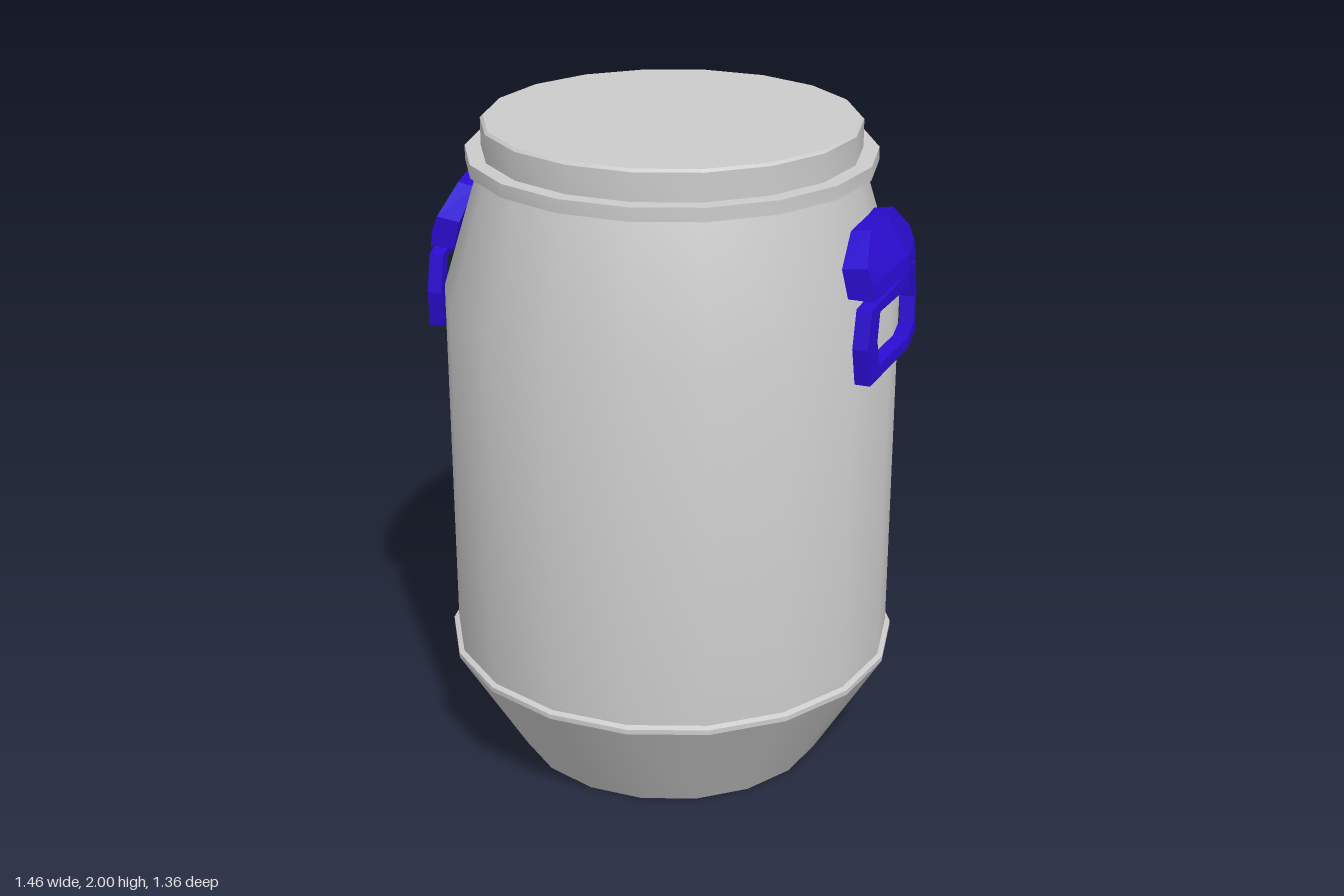
import * as THREE from 'three';
import { toCreasedNormals } from 'three/addons/utils/BufferGeometryUtils.js';

const SIDES = 18;
const grey = new THREE.MeshStandardMaterial({ color: 0xcccccc });
const blue = new THREE.MeshStandardMaterial({ color: 0x2a0cd0, flatShading: true });

// Turned part from [radius, y] pairs running bottom to top
function turned(name, profile) {
  const points = profile.map(([r, y]) => new THREE.Vector2(r, y));
  const lathe = new THREE.LatheGeometry(points, SIDES, Math.PI / SIDES, Math.PI * 2);
  const mesh = new THREE.Mesh(toCreasedNormals(lathe, 0.5), grey);
  mesh.name = name;
  return mesh;
}

// Flat-sided skin over equal-sized rings of [x, y, z]; a closed loft joins last to first
function loft(name, rings, closed) {
  const n = rings[0].length;
  const index = [];
  const spans = closed ? rings.length : rings.length - 1;
  for (let i = 0; i < spans; i++) {
    for (let j = 0; j < n; j++) {
      const k = ((i + 1) % rings.length) * n;
      const a = i * n + j, b = i * n + (j + 1) % n;
      const c = k + (j + 1) % n, d = k + j;
      index.push(a, b, c, a, c, d);
    }
  }
  if (!closed) {
    const last = (rings.length - 1) * n;
    for (let j = 1; j < n - 1; j++) {
      index.push(0, j + 1, j, last, last + j, last + j + 1);
    }
  }
  const geometry = new THREE.BufferGeometry();
  geometry.setAttribute('position', new THREE.Float32BufferAttribute(rings.flat(2), 3));
  geometry.setIndex(index);
  const flat = geometry.toNonIndexed();
  flat.computeVertexNormals();
  const mesh = new THREE.Mesh(flat, blue);
  mesh.name = name;
  return mesh;
}

// Handles are bent in a shallow V around the barrel
const bend = (z) => 0.18 * Math.abs(z);

function createHandle(name) {
  const handle = new THREE.Group();
  handle.name = name;

  // Sloping bracket: [z, bottom y, knee y, top y]
  const bracket = [
    [-0.215, 1.59, 1.64, 1.685], [-0.115, 1.605, 1.65, 1.765], [0, 1.615, 1.66, 1.78],
    [0.115, 1.605, 1.65, 1.765], [0.215, 1.59, 1.64, 1.685],
  ].map(([z, low, knee, top]) => {
    const slope = (y) => 0.52 * (1.78 - y);
    return [
      [0.645, low], [0.722, low], [0.715, knee],
      [0.648 + slope(top), top], [0.595 + 0.6 * slope(top), top - 0.01],
    ].map(([x, y]) => [x - bend(z), y, z]);
  });
  handle.add(loft('handleBracket', bracket, false));

  // Grip frame: [outer z, outer y, inner z, inner y], from bottom centre round one side
  const half = [
    [0, 1.385, 0, 1.418], [0.24, 1.35, 0.182, 1.395], [0.255, 1.46, 0.196, 1.47],
    [0.23, 1.57, 0.18, 1.553], [0, 1.618, 0, 1.572],
  ];
  const mirrored = half.slice(1, -1).reverse().map(([a, b, c, d]) => [-a, b, -c, d]);
  const frame = [...half, ...mirrored].map(([oz, oy, iz, iy]) => {
    const x = (y, z) => 0.728 - bend(z) - 0.03 * (y - 1.38);
    const t = 0.045;
    return [
      [x(oy, oz) - t, oy, oz], [x(oy, oz), oy, oz],
      [x(iy, iz), iy, iz], [x(iy, iz) - t, iy, iz],
    ];
  });
  handle.add(loft('handleGrip', frame, true));
  return handle;
}

export function createModel() {
  const model = new THREE.Group();
  model.name = 'barrel';

  // Tapered base with a small ledge, straight wall and sloping shoulder
  model.add(turned('body', [
    [0, 0], [0.48, 0], [0.69, 0.35], [0.69, 0.365], [0.675, 0.372],
    [0.675, 1.48], [0.553, 1.88],
  ]));
  // Clamping ring
  model.add(turned('clampRing', [
    [0.54, 1.87], [0.6, 1.87], [0.6, 1.91], [0.54, 1.91],
  ]));
  // Lid
  model.add(turned('lid', [
    [0.553, 1.9], [0.553, 1.992], [0.545, 2], [0, 2],
  ]));

  const left = createHandle('leftHandle');
  const right = createHandle('rightHandle');
  right.rotation.y = Math.PI;
  model.add(left, right);
  return model;
}
